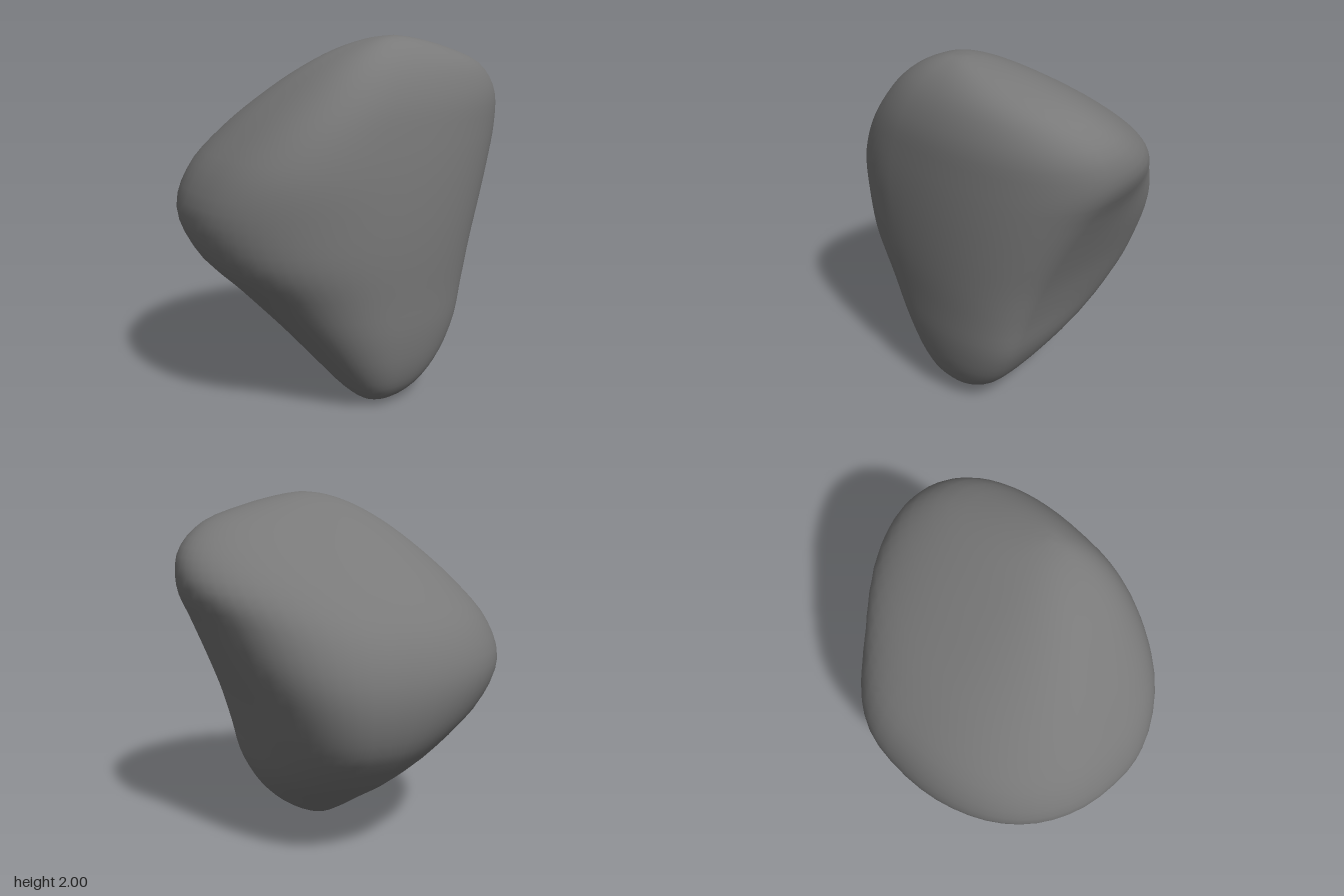
import * as THREE from 'three';
import { mergeVertices } from 'three/addons/utils/BufferGeometryUtils.js';

// Horizontal sections of the boulder, bottom to top:
// height, left x, right x, front z, back z, z of the left extreme, z of the right extreme
const SECTIONS = [
  [0.015, -0.08, 0.11, 0.5, 0.3, 0.42, 0.42],
  [0.09, -0.18, 0.25, 0.59, 0.15, 0.41, 0.44],
  [0.22, -0.29, 0.38, 0.65, -0.07, 0.37, 0.45],
  [0.42, -0.45, 0.49, 0.69, -0.4, 0.3, 0.45],
  [0.64, -0.64, 0.55, 0.71, -0.64, 0.2, 0.43],
  [0.86, -0.84, 0.62, 0.73, -0.73, 0.13, 0.39],
  [1.08, -0.91, 0.71, 0.74, -0.74, 0.07, 0.34],
  [1.3, -0.84, 0.81, 0.74, -0.66, 0.08, 0.27],
  [1.5, -0.69, 0.9, 0.73, -0.47, 0.13, 0.19],
  [1.68, -0.52, 0.88, 0.71, -0.23, 0.2, 0.23],
  [1.83, -0.35, 0.73, 0.66, 0, 0.29, 0.31],
  [1.93, -0.19, 0.45, 0.59, 0.18, 0.36, 0.38],
  [1.985, -0.04, 0.2, 0.51, 0.33, 0.42, 0.43],
];
const BOTTOM = new THREE.Vector3(0.01, 0, 0.41);
const TOP = new THREE.Vector3(0.08, 2, 0.44);
const AROUND = 56;
const UP = 48;
const { lerp, smoothstep, clamp } = THREE.MathUtils;

// How full each corner of a section is: 2 is an ellipse, more is boxier
function roundness(y, isFront, isRight) {
  if (isFront) return isRight ? 2.2 : 2.2 + 0.7 * smoothstep(y, 1, 1.6);
  if (isRight) return 1.9 + 0.7 * smoothstep(y, 0.1, 0.6) - 0.5 * smoothstep(y, 0.9, 1.4);
  return 1.8 + 0.5 * smoothstep(y, 0.3, 1.2);
}

// A point on a section: each quadrant is a superellipse arc joining two extremes
function sectionPoint([y, left, right, front, back, leftZ, rightZ], angle) {
  const s = Math.sin(angle), c = Math.cos(angle);
  const isFront = c >= 0, isRight = s >= 0;
  const power = 2 / roundness(y, isFront, isRight);
  // The front middle line bows to the left at half height
  const midX = 0.02 + 0.03 * y - (isFront ? 0.13 * Math.sin((Math.PI * y) / 2) : 0);
  return new THREE.Vector3(
    lerp(midX, isRight ? right : left, Math.abs(s) ** power),
    y,
    lerp(isRight ? rightZ : leftZ, isFront ? front : back, Math.abs(c) ** power)
  );
}

function boulderGeometry() {
  const positions = [], index = [];

  // Smooth meridians through the sections, meeting at both poles
  for (let i = 0; i < AROUND; i++) {
    const angle = (i / AROUND) * Math.PI * 2;
    const ribs = SECTIONS.map((section) => sectionPoint(section, angle));
    const meridian = new THREE.CatmullRomCurve3([BOTTOM, ...ribs, TOP]);
    for (const p of meridian.getPoints(UP)) {
      positions.push(p.x, clamp(p.y, 0, 2), p.z);
    }
  }

  // Skin between neighbouring meridians, single triangles at the poles
  const at = (i, j) => (i % AROUND) * (UP + 1) + j;
  for (let i = 0; i < AROUND; i++) {
    for (let j = 0; j < UP; j++) {
      const a = at(i, j), b = at(i + 1, j), c = at(i + 1, j + 1), d = at(i, j + 1);
      if (j > 0) index.push(a, b, c);
      if (j < UP - 1) index.push(a, c, d);
    }
  }

  const skin = new THREE.BufferGeometry();
  skin.setAttribute('position', new THREE.Float32BufferAttribute(positions, 3));
  skin.setIndex(index);
  const geometry = mergeVertices(skin, 1e-5);
  geometry.computeVertexNormals();
  return geometry;
}

export function createModel() {
  const group = new THREE.Group();
  group.name = 'rock';
  const boulder = new THREE.Mesh(
    boulderGeometry(),
    new THREE.MeshStandardMaterial({ color: 0x797979 })
  );
  boulder.name = 'boulder';
  group.add(boulder);
  return group;
}
